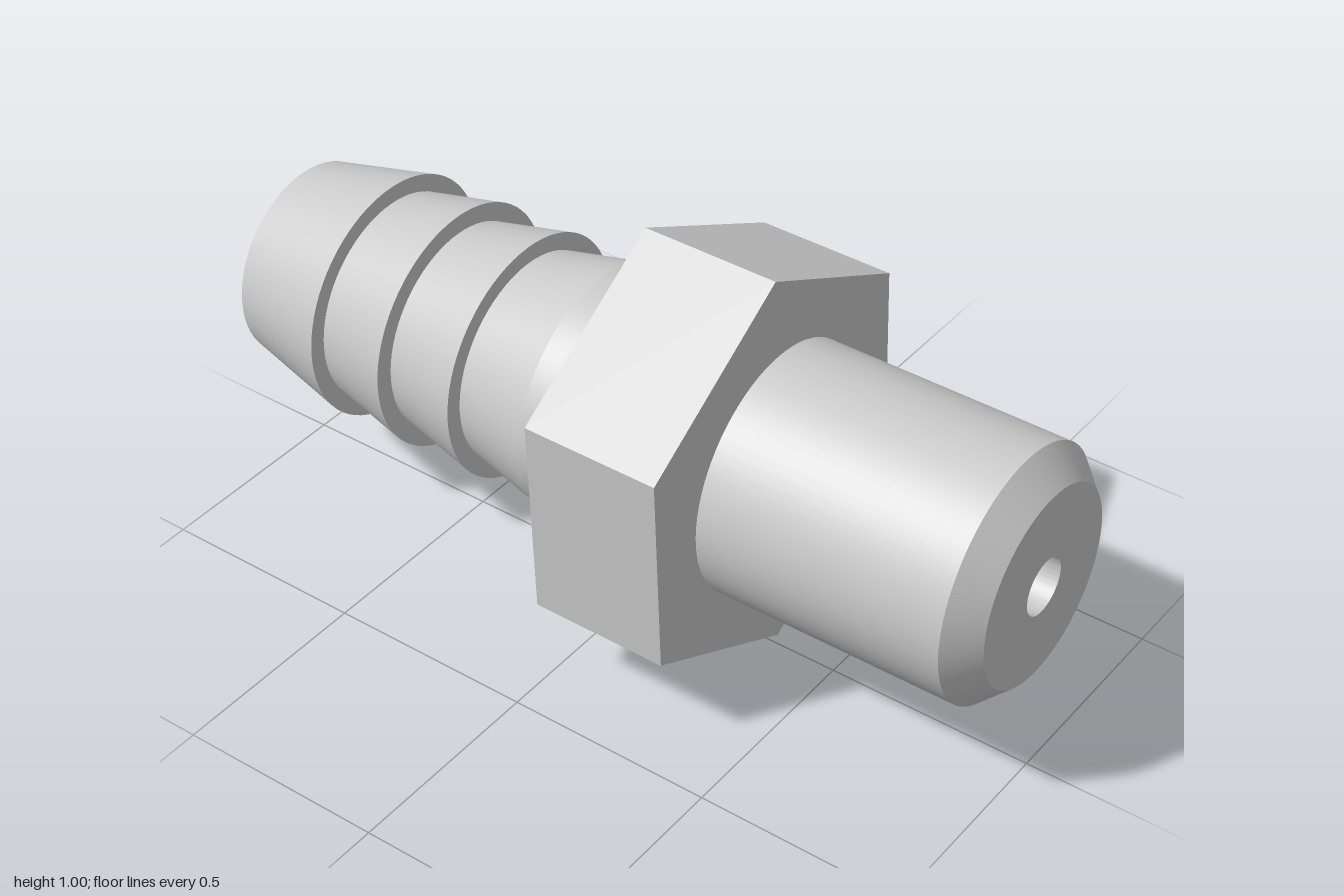
import * as THREE from 'three';
import { toCreasedNormals } from 'three/addons/utils/BufferGeometryUtils.js';

const RADIUS = 0.298; // pipe and barb crests
const BORE = 0.067;
const AXIS_HEIGHT = 0.5;

export function createModel() {
  const group = new THREE.Group();
  group.name = 'hoseBarbFitting';
  const material = new THREE.MeshStandardMaterial({ color: 0xcccccc });

  // Turned body: [radius, position along the axis], closed through the bore
  const profile = [
    [BORE, -1], [0.237, -1],
    // Barbs: tapered ramp up, then a square step down
    [0.297, -0.735], [0.255, -0.735],
    [0.297, -0.54], [0.252, -0.54],
    [0.296, -0.34], [0.254, -0.34],
    [RADIUS, -0.14],
    // Plain spigot with chamfered end
    [RADIUS, 0.933], [0.233, 1], [BORE, 1],
    [BORE, -1],
  ].map(([r, h]) => new THREE.Vector2(r, h));
  const bodyGeometry = toCreasedNormals(new THREE.LatheGeometry(profile, 72), 0.16);
  bodyGeometry.rotateZ(-Math.PI / 2);
  const body = new THREE.Mesh(bodyGeometry, material);
  body.name = 'barbedBody';
  body.position.y = AXIS_HEIGHT;
  group.add(body);

  // Hexagonal collar, turned slightly about the axis
  const corners = [];
  for (let i = 0; i < 6; i++) {
    const a = Math.PI / 2 + 0.05 + (i * Math.PI) / 3;
    corners.push(new THREE.Vector2(0.5 * Math.cos(a), 0.5 * Math.sin(a)));
  }
  const hex = new THREE.Shape(corners);
  hex.holes.push(new THREE.Path().absarc(0, 0, RADIUS - 0.01, 0, Math.PI * 2, true));
  const nutGeometry = new THREE.ExtrudeGeometry(hex, { depth: 0.333, bevelEnabled: false, curveSegments: 36 });
  nutGeometry.rotateY(Math.PI / 2);
  const nut = new THREE.Mesh(nutGeometry, material);
  nut.name = 'hexCollar';
  nut.position.y = AXIS_HEIGHT;
  group.add(nut);

  return group;
}
